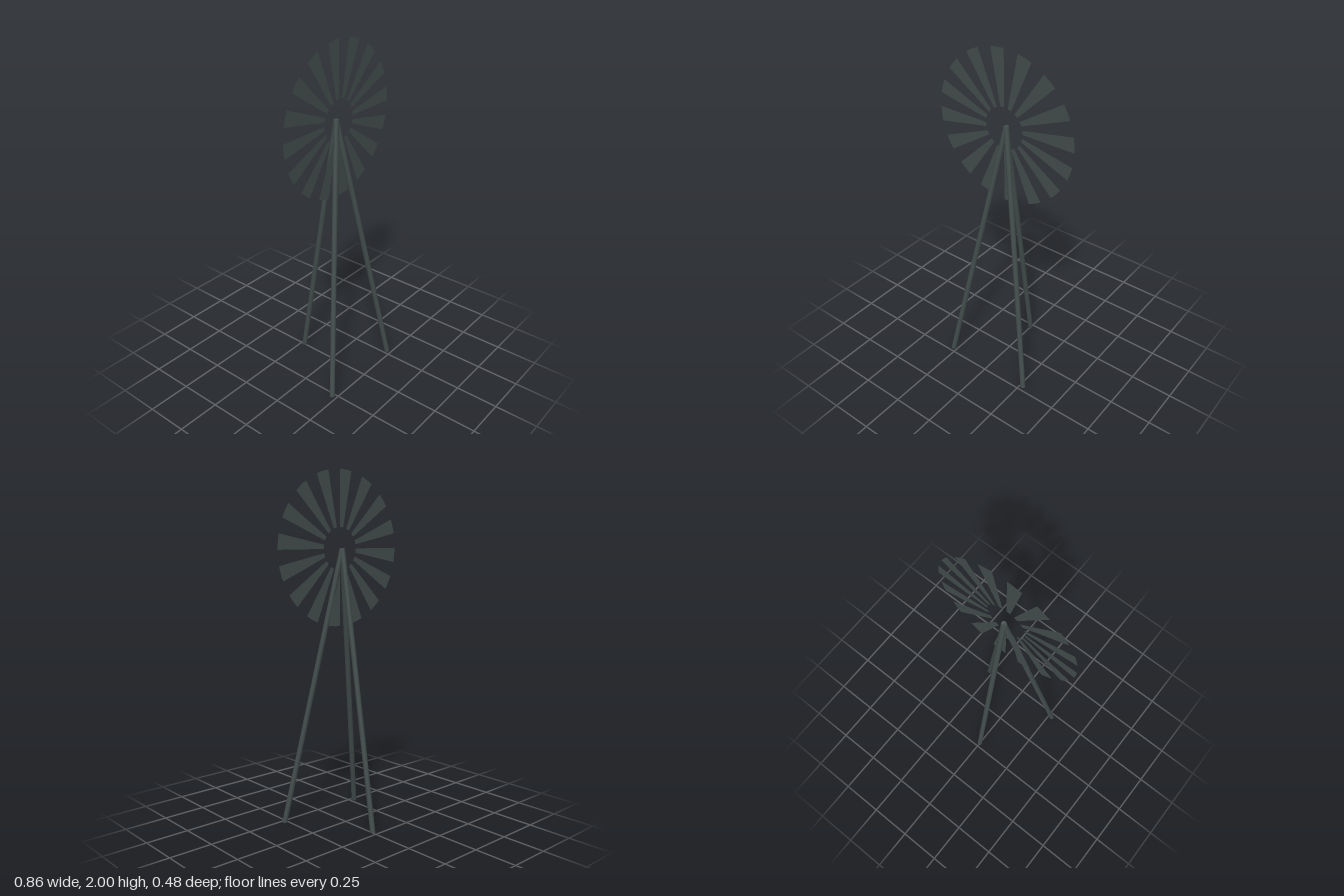
import * as THREE from 'three';

const steel = new THREE.MeshStandardMaterial({ color: 0x414c4a, side: THREE.DoubleSide });
steel.name = 'dark steel';

const APEX = new THREE.Vector3(0, 1.572, 0.028);
const LEG_RADIUS = 0.015;

// Straight round rod from a foot up to the apex
function leg(name, x, z) {
  const foot = new THREE.Vector3(x, 0.003, z);
  const dir = APEX.clone().sub(foot);
  const mesh = new THREE.Mesh(new THREE.CylinderGeometry(LEG_RADIUS, LEG_RADIUS, dir.length(), 16), steel);
  mesh.name = name;
  mesh.position.copy(foot).add(APEX).multiplyScalar(0.5);
  mesh.quaternion.setFromUnitVectors(new THREE.Vector3(0, 1, 0), dir.normalize());
  return mesh;
}

export function createModel() {
  const model = new THREE.Group();
  model.name = 'windPump';

  // Tripod tower
  const tower = new THREE.Group();
  tower.name = 'tower';
  tower.add(
    leg('frontLeftLeg', 0.273, 0.224),
    leg('frontRightLeg', -0.273, 0.224),
    leg('backLeg', 0, -0.225),
  );
  model.add(tower);

  // Wheel of flat tapered blades, each as wide as the gap beside it
  const wheel = new THREE.Group();
  wheel.name = 'wheel';
  wheel.position.set(0, 1.57, 0.046);
  const count = 16;
  const step = (Math.PI * 2) / count;
  const bladeGeometry = new THREE.RingGeometry(0.118, 0.43, 1, 1, 0, step / 2);
  for (let i = 0; i < count; i++) {
    const blade = new THREE.Mesh(bladeGeometry, steel);
    blade.name = `blade${i + 1}`;
    blade.rotation.z = i * step;
    wheel.add(blade);
  }
  model.add(wheel);

  return model;
}
